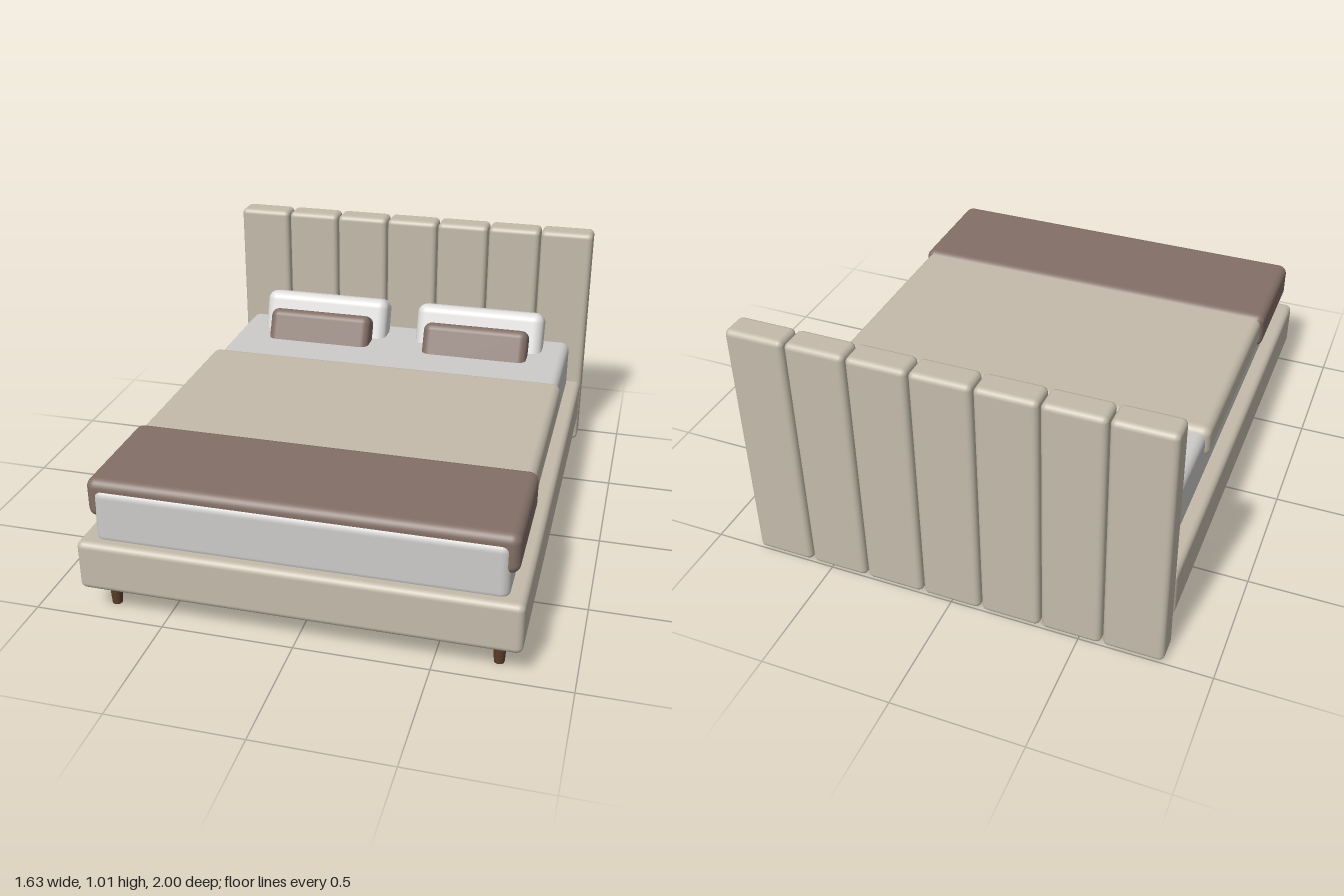
import * as THREE from 'three';
import { RoundedBoxGeometry } from 'three/addons/geometries/RoundedBoxGeometry.js';

function material(name, color) {
  const m = new THREE.MeshStandardMaterial({ color });
  m.name = name;
  return m;
}

export function createModel() {
  const bed = new THREE.Group();
  bed.name = 'bed';

  const upholstery = material('beige upholstery', 0xc4bbab);
  const sheet = material('light grey sheet', 0xcdccca);
  const pillowcase = material('white pillowcase', 0xe0dfdd);
  const wool = material('brown wool', 0x837067);
  const wood = material('dark wood', 0x5a3d28);

  // Rounded block given by its extents along each axis
  function block(name, [x0, x1], [y0, y1], [z0, z1], radius, mat) {
    const geo = new RoundedBoxGeometry(x1 - x0, y1 - y0, z1 - z0, 4, radius);
    const mesh = new THREE.Mesh(geo, mat);
    mesh.position.set((x0 + x1) / 2, (y0 + y1) / 2, (z0 + z1) / 2);
    mesh.name = name;
    bed.add(mesh);
    return mesh;
  }

  // Base, mattress and covers
  block('bedFrame', [-0.815, 0.815], [0.115, 0.312], [-0.885, 1], 0.025, upholstery);
  block('mattress', [-0.755, 0.755], [0.29, 0.515], [-0.855, 0.957], 0.035, sheet);
  block('blanket', [-0.771, 0.771], [0.4, 0.535], [-0.345, 0.52], 0.035, upholstery);
  block('throw', [-0.783, 0.783], [0.392, 0.546], [0.462, 0.948], 0.035, wool);

  // Headboard of upright padded panels
  const panels = 7, pitch = 1.64 / panels;
  for (let i = 0; i < panels; i++) {
    const x = -0.82 + pitch * i;
    block('headboardPanel' + (i + 1), [x + 0.003, x + pitch - 0.003], [0, 1.01], [-1, -0.888], 0.022, upholstery);
  }

  // Pillows lean back towards the headboard
  for (const side of [1, -1]) {
    const label = side > 0 ? 'left' : 'right';
    const x = side * 0.357;
    const pillow = block(label + 'Pillow', [x - 0.287, x + 0.287], [0.391, 0.671], [-0.808, -0.668], 0.042, pillowcase);
    pillow.rotation.x = -0.33;
    const cushion = block(label + 'Cushion', [x - 0.233, x + 0.233], [0.392, 0.632], [-0.668, -0.548], 0.035, wool);
    cushion.rotation.x = -0.4;
  }

  // Tapered legs
  const legGeo = new THREE.CylinderGeometry(0.027, 0.019, 0.125, 16);
  for (const x of [-0.725, 0.725]) {
    for (const z of [-0.77, 0.89]) {
      const leg = new THREE.Mesh(legGeo, wood);
      leg.position.set(x, 0.0625, z);
      leg.name = (z > 0 ? 'front' : 'back') + (x > 0 ? 'Left' : 'Right') + 'Leg';
      bed.add(leg);
    }
  }

  return bed;
}
